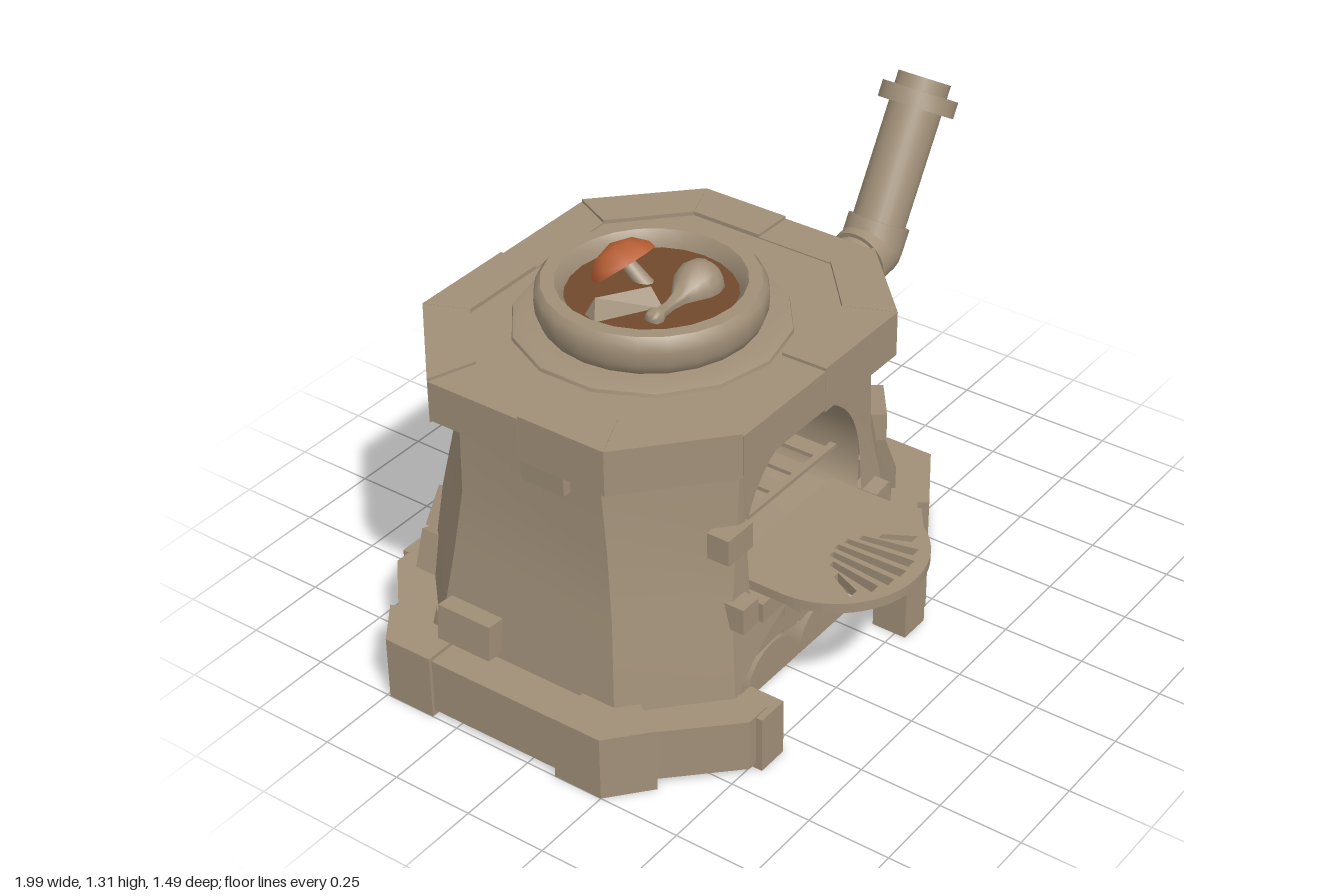
import * as THREE from 'three';
import { toCreasedNormals } from 'three/addons/utils/BufferGeometryUtils.js';
import { ConvexGeometry } from 'three/addons/geometries/ConvexGeometry.js';

const mat = (name, color, side = THREE.FrontSide) => {
  const m = new THREE.MeshStandardMaterial({ color, side });
  m.name = name;
  return m;
};
const V = (x, y, z) => new THREE.Vector3(x, y, z);

export function createModel() {
  const root = new THREE.Group();
  const stone = mat('stone', 0xa08f78, THREE.DoubleSide);
  const soup = mat('soup', 0x71492b);
  const orange = mat('mushroom orange', 0xb85f34);
  const add = (name, geo, m = stone, parent = root) => {
    const mesh = new THREE.Mesh(geo, m);
    mesh.name = name;
    parent.add(mesh);
    return mesh;
  };
  const group = (name) => {
    const g = new THREE.Group();
    g.name = name;
    root.add(g);
    return g;
  };
  const shapeOf = (pts) => new THREE.Shape(pts.map(([x, y]) => new THREE.Vector2(x, y)));
  // upright prism from a plan outline of [x, z]
  const prism = (plan, y0, y1) => new THREE.ExtrudeGeometry(
    shapeOf(plan.map(([x, z]) => [x, -z])), { depth: y1 - y0, bevelEnabled: false })
    .rotateX(-Math.PI / 2).translate(0, y0, 0);
  // the same prism without its underside
  const openPrism = (plan, y0, y1) => {
    const g = prism(plan, y0, y1), n = g.attributes.normal, index = [];
    for (let i = 0; i < n.count; i += 3) if (n.getY(i) > -0.5) index.push(i, i + 1, i + 2);
    g.clearGroups();
    g.setIndex(index);
    return g.toNonIndexed();
  };
  // prism along z from a front outline of [x, y]
  const along = (pts, z0, z1) => new THREE.ExtrudeGeometry(shapeOf(pts),
    { depth: z1 - z0, bevelEnabled: false }).translate(0, 0, z0);
  // smooth surface through rows of points
  const loft = (rows) => {
    const n = rows[0].length, index = [];
    for (let r = 0; r < rows.length - 1; r++) for (let c = 0; c < n - 1; c++) {
      const a = r * n + c;
      index.push(a, a + 1, a + n, a + 1, a + n + 1, a + n);
    }
    const g = new THREE.BufferGeometry().setFromPoints(rows.flat());
    g.setIndex(index);
    g.computeVertexNormals();
    return g;
  };
  const arch = (xl, xr, y0, spring, top, round) => {
    const pts = [[xl, y0]];
    for (let i = 0; i <= 20; i++) {
      const u = -Math.cos(Math.PI * i / 20);
      const h = round ? Math.sqrt(Math.max(0, 1 - u * u)) : 1 - u * u;
      pts.push([(xl + xr) / 2 + u * (xr - xl) / 2, spring + (top - spring) * h]);
    }
    pts.push([xr, y0]);
    return pts;
  };
  const lerp = (a, b, t) => a.map((v, i) => v + (b[i] - v) * t);

  // Tower sections: y, left, right, front, back, front edge x pair, side edge z pair
  const sections = [
    [0, -0.89, 0.56, 0.44, -0.65, -0.64, 0.17, 0.22, -0.42],
    [0.2, -0.87, 0.51, 0.425, -0.63, -0.63, 0.15, 0.2, -0.4],
    [0.45, -0.83, 0.42, 0.395, -0.605, -0.6, 0.12, 0.17, -0.37],
    [0.65, -0.81, 0.33, 0.38, -0.58, -0.56, 0.08, 0.145, -0.345],
    [0.92, -0.81, 0.3, 0.38, -0.575, -0.54, 0.07, 0.125, -0.34],
  ];
  const corners = ([y, l, r, f, b, fl, fr, sf, sb]) => [
    V(fl, y, f), V(fr, y, f), V(r, y, sf), V(r, y, sb),
    V(fr, y, b), V(fl, y, b), V(l, y, sb), V(l, y, sf)];
  const body = group('towerBody');
  const rings = sections.map(corners);
  for (const i of [1, 2, 3, 5, 6, 7])
    add('wallPanel', loft(rings.map((c) => [c[i], c[(i + 1) % 8]])), stone, body);

  // Front and back walls, each in two bands cut by the arches
  const depthAt = (y, k) => {
    let i = 0;
    while (i < sections.length - 2 && y > sections[i + 1][0]) i++;
    const a = sections[i], b = sections[i + 1];
    return a[k] + (b[k] - a[k]) * (y - a[0]) / (b[0] - a[0]);
  };
  const wall = (name, k, band, opening) => {
    const g = new THREE.ShapeGeometry(shapeOf([...band.map((c) => [c[5], c[0]]),
      ...band.map((c) => [c[6], c[0]]).reverse(), ...[...opening].reverse()]));
    const p = g.attributes.position;
    for (let i = 0; i < p.count; i++) p.setZ(i, depthAt(p.getY(i), k));
    g.computeVertexNormals();
    add(name, g, stone, body);
  };
  const fireFront = arch(-0.62, 0.14, 0, 0.18, 0.345, false);
  const fireBack = arch(-0.6, 0.06, 0, 0.18, 0.345, false);
  const oven = arch(-0.52, 0.02, 0.45, 0.6, 0.865, true);
  const low = sections.slice(0, 3), high = sections.slice(2);
  wall('frontWallLower', 3, low, fireFront);
  wall('frontWallUpper', 3, high, oven);
  wall('backWallLower', 4, low, fireBack);
  wall('backWallUpper', 4, high, []);
  add('fireTunnel', loft([fireFront.map(([x, y]) => V(x, y, depthAt(y, 3))),
    fireBack.map(([x, y]) => V(x, y, depthAt(y, 4)))]), stone, body);

  // Oven chamber, rack and tray
  const closed = [...oven, oven[0]];
  add('ovenVault', loft([0.38, -0.45].map((z) => closed.map(([x, y]) => V(x, y, z)))), stone, body);
  add('ovenBack', new THREE.ShapeGeometry(shapeOf(oven)).translate(0, 0, -0.45), stone, body);
  const rack = group('ovenRack');
  for (let i = 0; i < 5; i++)
    add('rackBar', new THREE.BoxGeometry(0.055, 0.012, 0.74).translate(-0.46 + i * 0.105, 0.596, -0.08), stone, rack);
  add('rackEdge', new THREE.BoxGeometry(0.53, 0.012, 0.02).translate(-0.25, 0.596, 0.3), stone, rack);
  const trayShape = new THREE.Shape();
  trayShape.moveTo(0.01, -0.3);
  trayShape.lineTo(-0.51, -0.3);
  trayShape.lineTo(-0.51, -0.485);
  trayShape.absarc(-0.25, -0.485, 0.26, Math.PI, Math.PI * 2, false);
  for (let i = -3; i <= 3; i++) {
    const x0 = -0.25 + i * 0.036, x1 = -0.25 + i * 0.05;
    const end = -0.485 - Math.sqrt(0.22 ** 2 - (i * 0.05) ** 2), near = -0.49 - 0.008 * i * i;
    trayShape.holes.push(new THREE.Path([[x0 - 0.01, near], [x0 + 0.01, near], [x1 + 0.016, end], [x1 - 0.016, end]]
      .map(([x, y]) => new THREE.Vector2(x, y))));
  }
  add('ovenTray', new THREE.ExtrudeGeometry(trayShape, { depth: 0.03, bevelEnabled: false, curveSegments: 20 })
    .rotateX(-Math.PI / 2).translate(0, 0.456, 0));

  // Loose stones: x, y, z, width, height, depth, turn about y, tilt about z
  const stones = (name, list) => {
    const g = group(name);
    for (const [x, y, z, w, h, d, ry = 0, rz = 0] of list) {
      const m = add('stoneBlock', new THREE.BoxGeometry(w, h, d), stone, g);
      m.position.set(x, y, z);
      m.rotation.set(0, ry, rz);
    }
  };
  stones('sillStones', [[-0.578, 0.43, 0.4, 0.07, 0.08, 0.08], [-0.475, 0.42, 0.41, 0.125, 0.06, 0.08, 0, 0.03],
    [-0.335, 0.425, 0.41, 0.13, 0.065, 0.07], [-0.195, 0.42, 0.41, 0.125, 0.06, 0.08, 0, -0.04],
    [-0.06, 0.425, 0.41, 0.125, 0.065, 0.07, 0, 0.03], [0.065, 0.43, 0.4, 0.065, 0.1, 0.08, 0, 0.15]]);
  stones('wallStones', [[-0.575, 0.65, 0.37, 0.11, 0.08, 0.07], [-0.82, 0.85, -0.04, 0.04, 0.1, 0.14, 0, 0.06],
    [0.315, 0.512, 0.23, 0.17, 0.085, 0.08, 0.64, -0.06], [0.5, 0.3, -0.31, 0.07, 0.19, 0.16, 0, 0.33],
    [0.25, 0.23, 0.38, 0.18, 0.1, 0.1, 0.55], [-0.88, 0.26, -0.28, 0.07, 0.11, 0.18, 0, -0.08],
    [0, 0.605, -0.585, 0.13, 0.08, 0.05, 0, -0.1]]);
  const voussoirs = [];
  for (let i = 0; i < 7; i++) {
    const t = Math.PI * (0.08 + 0.14 * i);
    voussoirs.push([-0.27 + 0.37 * Math.cos(t), 0.17 + 0.235 * Math.sin(t), -0.62,
      0.12, 0.075, 0.07 + 0.02 * (i % 2), 0, t - Math.PI / 2 + (i % 2 ? 0.1 : -0.06)]);
  }
  stones('backArchStones', voussoirs);

  // Split logs lying through the fire tunnel, the lowest ones open underneath
  const halfLog = (cx, cy, r, turn) => Array.from({ length: 11 }, (_, i) => {
    const a = turn + Math.PI * i / 10;
    return [cx + r * Math.cos(a), cy + r * Math.sin(a)];
  });
  const logs = group('firewood');
  for (const arc of [halfLog(-0.33, 0.015, 0.125, 0), halfLog(-0.08, 0.015, 0.12, 0)]) {
    add('lowerLog', loft([-0.56, 0.34].map((z) => arc.map(([x, y]) => V(x, y, z)))), stone, logs);
    for (const z of [-0.56, 0.34])
      add('logEnd', new THREE.ShapeGeometry(shapeOf(arc)).translate(0, 0, z), stone, logs);
  }
  [halfLog(-0.38, 0.145, 0.115, 0.08), halfLog(-0.55, 0.09, 0.08, -0.9),
    [[-0.24, 0.29], [-0.04, 0.26], [-0.09, 0.19], [-0.17, 0.205], [-0.23, 0.23]],
    [[-0.27, 0.23], [-0.19, 0.15], [-0.22, 0.13], [-0.28, 0.14]],
    [[-0.11, 0.18], [-0.02, 0.2], [0.04, 0.13], [0.0, 0.09]],
    [[-0.2, 0.13], [-0.12, 0.14], [-0.14, 0.19], [-0.19, 0.2]]]
    .forEach((pts) => add('log', along(pts, -0.56, 0.34), stone, logs));

  // Stone rim and deck on top of the tower
  const outer = [[-0.6, 0.43], [0.12, 0.43], [0.37, 0.19], [0.37, -0.39],
    [0.11, -0.645], [-0.59, -0.645], [-0.87, -0.39], [-0.87, 0.19]];
  const inner = [[-0.54, 0.29], [0.06, 0.29], [0.24, 0.13], [0.24, -0.34],
    [0.05, -0.52], [-0.54, -0.52], [-0.73, -0.34], [-0.73, 0.13]];
  const rim = group('rim');
  outer.forEach((a, i) => {
    const b = outer[(i + 1) % 8], c = inner[i], d = inner[(i + 1) % 8];
    const cuts = i % 2 ? [0, 1] : [0, 0.52, 1];
    for (let k = 0; k < cuts.length - 1; k++) {
      const s = cuts[k] + 0.001, t = cuts[k + 1] - 0.001, up = (i + k) % 2 * 0.008;
      add('rimStone', prism([lerp(a, b, s), lerp(a, b, t), lerp(c, d, t), lerp(c, d, s)],
        0.893 - up, 1.014 + up), stone, rim);
    }
  });
  add('deck', prism(inner, 0.95, 1.01), stone, rim);

  // Base: wrapped corner blocks, recessed diagonal slabs, arch jambs and side slabs
  const base = group('base');
  const rect = (x, z, w, d) => [[x - w / 2, z - d / 2], [x + w / 2, z - d / 2], [x + w / 2, z + d / 2], [x - w / 2, z + d / 2]];
  // corner, diagonal end, jamb centre, x sign, z sign, length of the corner's diagonal arm
  const quadrants = [
    [[0.625, 0.25], [0.19, 0.515], [0.1, 0.48], 1, 1, 0.25],
    [[-1, 0.25], [-0.69, 0.515], [-0.61, 0.48], -1, 1, 0.155],
    [[0.625, -0.5], [0.18, -0.72], [0.1, -0.69], 1, -1, 0.155],
    [[-1, -0.49], [-0.69, -0.72], [-0.585, -0.69], -1, -1, 0.155]];
  for (const [p, d, j, s, f, arm] of quadrants) {
    const e = lerp(p, d, arm / Math.hypot(d[0] - p[0], d[1] - p[1]));
    const eIn = [e[0] - s * 0.07, e[1] - f * 0.11], side = p[1] - f * 0.155;
    add('cornerBlock', openPrism([[p[0], side], p, e, eIn, [p[0] - s * 0.13, p[1] - f * 0.06],
      [p[0] - s * 0.13, side]], 0, 0.2), stone, base);
    add('diagonalSlab', openPrism([[e[0] - s * 0.01, e[1] - f * 0.02], d, [j[0], d[1]],
      [j[0], d[1] - f * 0.13], eIn], 0.018, 0.18), stone, base);
    add('archJamb', openPrism(rect(j[0], j[1], 0.1, 0.11), 0, 0.175), stone, base);
  }
  for (const x of [0.55, -0.93])
    add('sideSlab', openPrism(rect(x, -0.12, 0.12, 0.46), 0.018, 0.188), stone, base);

  // Cooking pot with its seat of flat stones
  const pot = group('pot');
  pot.position.set(-0.278, 0, -0.1);
  const lathe = (pts, seg = 32, crease = 0.6) => toCreasedNormals(
    new THREE.LatheGeometry(pts.map(([x, y]) => new THREE.Vector2(x, y)), seg), crease);
  add('potSeat', lathe([[0.39, 1.0], [0.385, 1.02], [0.358, 1.028], [0.28, 1.028]], 14), stone, pot);
  add('potBowl', lathe([[0.28, 1.01], [0.302, 1.03], [0.316, 1.06], [0.319, 1.1], [0.314, 1.125],
    [0.3, 1.141], [0.262, 1.141], [0.24, 1.11], [0.234, 1.06]], 24), stone, pot);
  add('stew', new THREE.CylinderGeometry(0.238, 0.238, 0.02, 24).translate(0, 1.085, 0), soup, pot);

  // Food floating in the stew
  const cap = add('mushroomCap', lathe([[0, 0.0], [0.1, 0.0], [0.094, 0.022], [0.06, 0.055], [0, 0.072]], 9, 0.9), orange);
  cap.position.set(-0.24, 1.117, -0.222);
  cap.rotation.x = -0.7;
  const stem = add('mushroomStem', new THREE.CylinderGeometry(0.02, 0.027, 0.13, 10));
  stem.position.set(-0.24, 1.095, -0.165);
  stem.rotation.x = -0.9;
  const leg = add('drumstick', lathe([[0, -0.15], [0.022, -0.145], [0.028, -0.125], [0.017, -0.1], [0.016, -0.06],
    [0.024, -0.02], [0.045, 0.015], [0.063, 0.045], [0.07, 0.075], [0.064, 0.108], [0.04, 0.135], [0, 0.145]], 16, 1.2));
  leg.position.set(-0.255, 1.1, -0.015);
  leg.rotation.set(0, 0.03, -Math.PI / 2);
  add('vegetableWedge', new ConvexGeometry([V(-0.49, 1.09, -0.13), V(-0.32, 1.09, -0.03), V(-0.3, 1.09, -0.07),
    V(-0.41, 1.09, -0.2), V(-0.47, 1.09, -0.18), V(-0.465, 1.155, -0.145), V(-0.32, 1.145, -0.07)]));

  // Bent chimney pipe
  const pipe = group('chimneyPipe');
  const turned = (name, pts, from, dir) => {
    const m = add(name, lathe(pts, 24), stone, pipe);
    m.position.copy(from);
    m.quaternion.setFromUnitVectors(V(0, 1, 0), dir.clone().normalize());
  };
  const start = V(0.29, 0.775, 0), bend = V(0.65, 0.825, 0), tip = V(0.916, 1.267, 0);
  const run = bend.clone().sub(start), rise = tip.clone().sub(bend), L = rise.length();
  turned('wallFlange', [[0.105, -0.02], [0.105, 0.07], [0.08, 0.07]], start, run);
  turned('lowerPipe', [[0.08, 0], [0.08, 0.31]], start, run);
  turned('elbowLower', [[0.08, 0.29], [0.093, 0.29], [0.093, run.length()]], start, run);
  add('elbowJoint', new THREE.SphereGeometry(0.093, 24, 16), stone, pipe).position.copy(bend);
  turned('elbowUpper', [[0.093, 0], [0.093, 0.08], [0.08, 0.08]], bend, rise);
  turned('upperPipe', [[0.08, 0], [0.08, L], [0.06, L], [0.06, L - 0.3], [0, L - 0.3]], bend, rise);
  turned('pipeCollar', [[0.08, L - 0.09], [0.115, L - 0.09], [0.115, L - 0.04], [0.08, L - 0.04]], bend, rise);
  return root;
}
